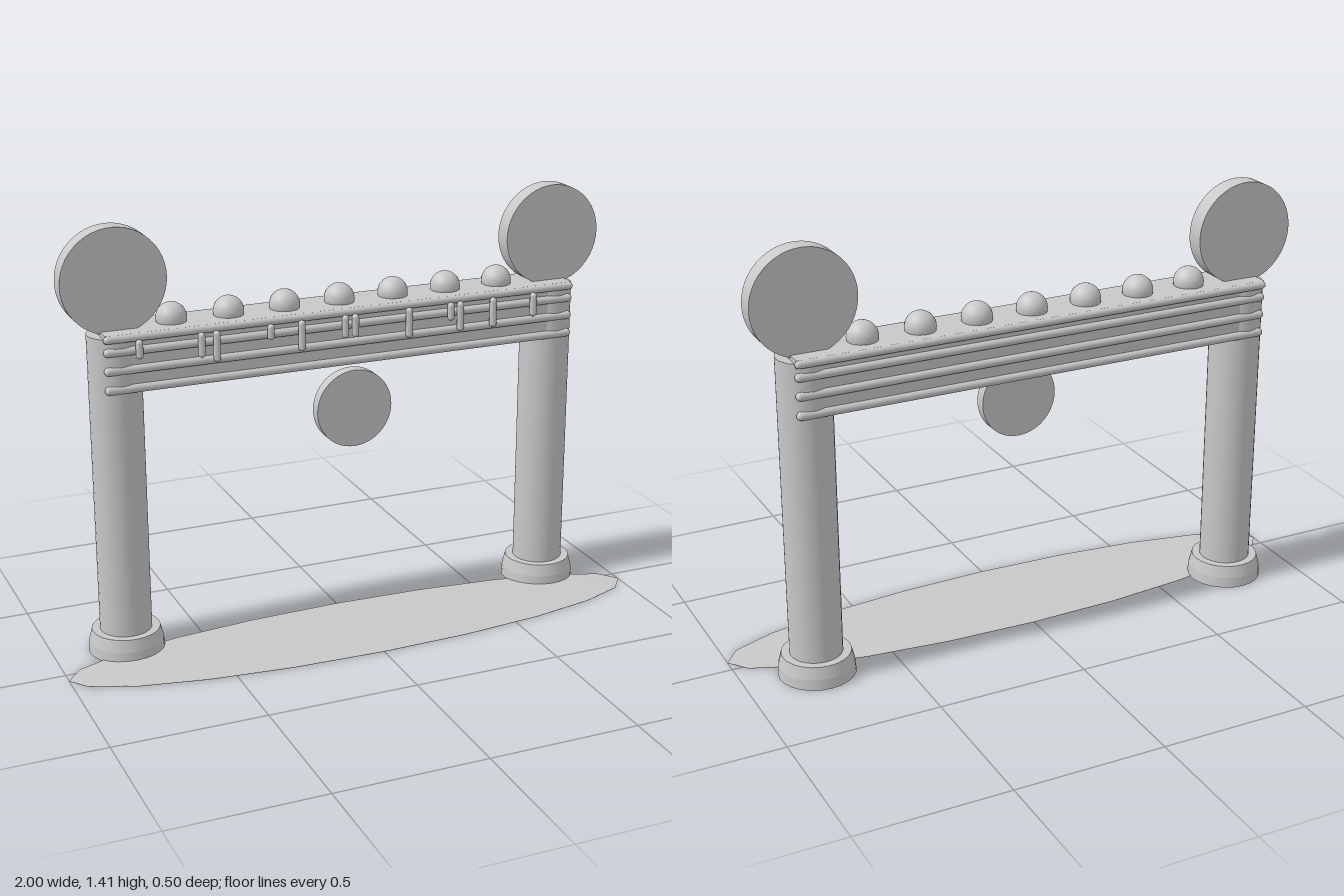
import * as THREE from 'three';

const Z = -0.125; // centre plane of the gate

export function createModel() {
  const group = new THREE.Group();
  const stone = new THREE.MeshStandardMaterial({ color: 0xc8c8c8 });
  stone.name = 'stone grey';

  const add = (name, geometry, x, y, z) => {
    const mesh = new THREE.Mesh(geometry, stone);
    mesh.name = name;
    mesh.position.set(x, y, z);
    group.add(mesh);
    return mesh;
  };
  const disc = (r, depth) => new THREE.CylinderGeometry(r, r, depth, 48).rotateX(Math.PI / 2);
  // Horizontal rod with rounded ends, running along x
  const rod = (r, length) => new THREE.CapsuleGeometry(r, length - 2 * r, 6, 12).rotateZ(Math.PI / 2);

  // Columns, their feet and the round plates above them
  for (const [side, s] of [['left', 1], ['right', -1]]) {
    const x = s * 0.76;
    add(side + 'Column', new THREE.CylinderGeometry(0.085, 0.085, 1.075, 32), x, 0.5375, Z);
    add(side + 'FootLower', new THREE.CylinderGeometry(0.122, 0.125, 0.035, 24), x, 0.0175, Z);
    add(side + 'FootUpper', new THREE.CylinderGeometry(0.112, 0.122, 0.04, 24), x, 0.055, Z);
    add(side + 'TopDisc', disc(0.17, 0.063), x, 1.245, Z);
  }

  // Beam between the columns, with rounded rails on both faces
  add('beam', new THREE.BoxGeometry(1.5, 0.17, 0.155), 0, 0.985, Z);
  for (const z of [Z + 0.077, Z - 0.077]) {
    for (const y of [1.034, 0.974, 0.912]) add('beamRail', rod(0.014, 1.63), 0, y, z);
  }

  // Flat cap with rounded long edges
  add('beamCap', new THREE.BoxGeometry(1.62, 0.026, 0.165), 0, 1.077, Z);
  for (const s of [1, -1]) add('capEdge', rod(0.013, 1.63), 0, 1.077, Z + s * 0.082);

  // Row of domes on the cap
  for (let i = -3; i <= 3; i++) {
    add('dome', new THREE.SphereGeometry(0.05, 24, 16), i * 0.19, 1.102, Z - 0.003);
  }

  // Drips hanging down the front: x, lowest point
  const drips = [
    [-0.706, 1.01], [-0.505, 0.99], [-0.455, 0.97], [-0.275, 1.02], [-0.17, 0.97], [-0.02, 0.995],
    [0.015, 0.995], [0.205, 0.97], [0.355, 1.01], [0.39, 0.97], [0.51, 0.97], [0.66, 0.99],
  ];
  for (const [x, low] of drips) {
    const h = 1.072 - low;
    add('drip', new THREE.CapsuleGeometry(0.012, h - 0.024, 5, 10), x, low + h / 2, -0.028);
  }

  // Medallion below the beam
  add('medallion', disc(0.13, 0.04), 0, 0.763, -0.02);

  // Thin, slightly domed oval pool on the ground
  const profile = [[0, 0], [1, 0], [1, 0.003], [0.8, 0.007], [0.5, 0.01], [0, 0.012]]
    .map(([r, y]) => new THREE.Vector2(r, y));
  add('pool', new THREE.LatheGeometry(profile, 20, Math.PI / 2).scale(1, 1, 0.2), 0, 0, 0.045);

  return group;
}
